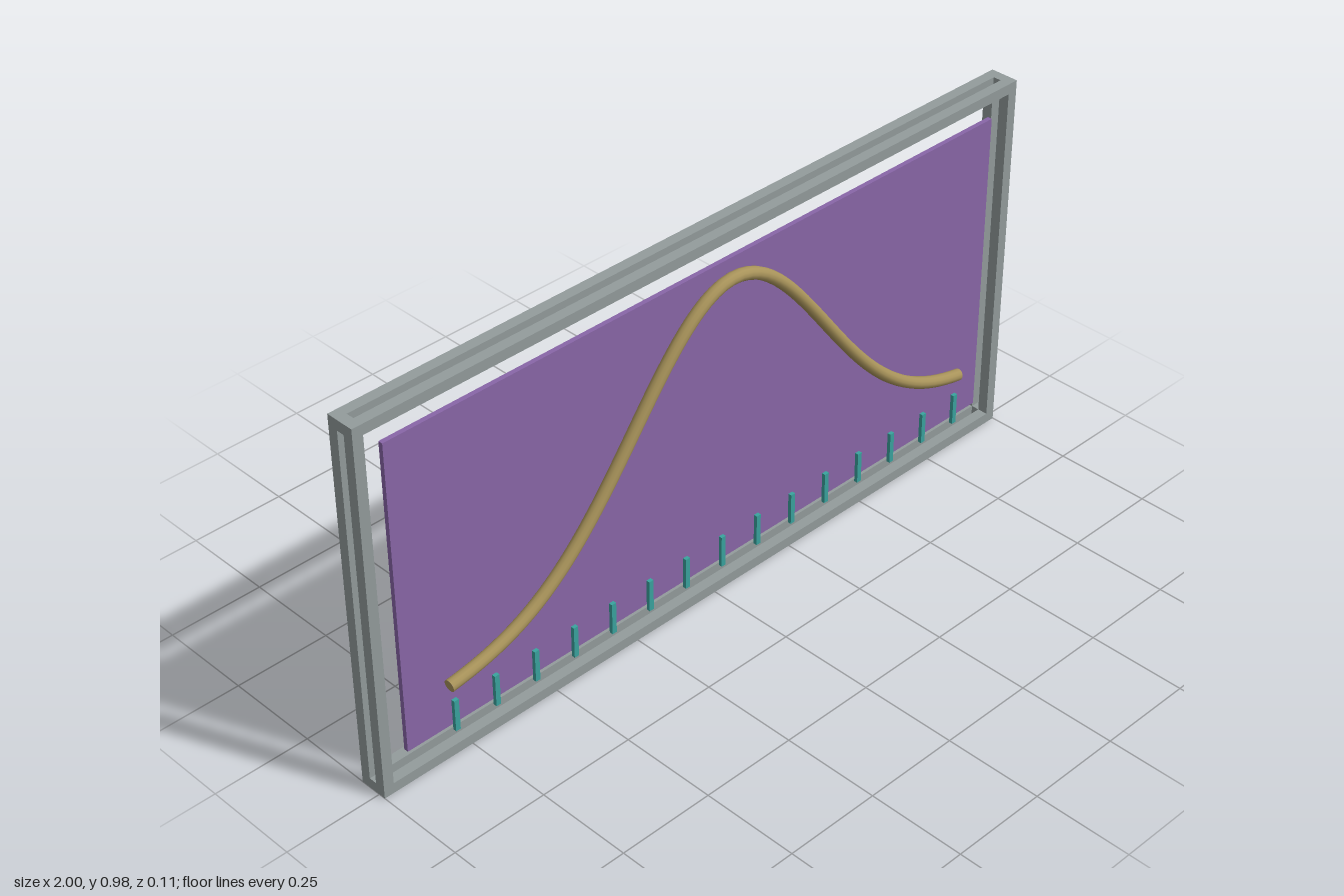
import * as THREE from 'three';

const material = (name, color) => {
  const m = new THREE.MeshStandardMaterial({ color });
  m.name = name;
  return m;
};

export function createModel() {
  const grey = material('frame grey', 0x939c9c);
  const purple = material('panel purple', 0x8966a8);
  const tan = material('curve tan', 0xa8935a);
  const teal = material('tick teal', 0x3aa39e);

  const model = new THREE.Group();
  model.name = 'bellCurveDisplay';

  const box = (parent, name, mat, size, pos) => {
    const mesh = new THREE.Mesh(new THREE.BoxGeometry(...size), mat);
    mesh.name = name;
    mesh.position.set(...pos);
    parent.add(mesh);
  };

  // Open box frame: beams along every edge
  const W = 2, H = 0.976, D = 0.075, B = 0.027, zMid = -0.019;
  const frame = new THREE.Group();
  frame.name = 'frame';
  model.add(frame);
  for (const a of [-1, 1]) {
    for (const b of [-1, 1]) {
      const x = a * (W - B) / 2;
      const y = H / 2 + b * (H - B) / 2;
      box(frame, 'horizontalBeam', grey, [W, B, B],
        [0, H / 2 + a * (H - B) / 2, zMid + b * (D - B) / 2]);
      box(frame, 'uprightBeam', grey, [B, H - 2 * B, B],
        [x, H / 2, zMid + b * (D - B) / 2]);
      box(frame, 'cornerBeam', grey, [B, B, D - 2 * B], [x, y, zMid]);
    }
  }

  // Backing panel
  box(model, 'panel', purple, [1.848, 0.818, 0.012], [0, 0.491, 0.006]);

  // Bell curve tube with closed ends
  const R = 0.0155, zCurve = 0.042;
  const points = [];
  for (let i = 0; i <= 40; i++) {
    const x = -0.823 + 1.643 * i / 40;
    const y = 0.212 + 0.66 * Math.exp(-((x - 0.03) ** 2) / (2 * 0.303 ** 2));
    points.push(new THREE.Vector3(x, y, zCurve));
  }
  const path = new THREE.CatmullRomCurve3(points);
  const curve = new THREE.Group();
  curve.name = 'bellCurve';
  model.add(curve);
  const tube = new THREE.Mesh(new THREE.TubeGeometry(path, 80, R, 12), tan);
  tube.name = 'curveTube';
  curve.add(tube);
  for (const t of [0, 1]) {
    const cap = new THREE.Mesh(new THREE.CircleGeometry(R, 12), tan);
    cap.name = 'curveEnd';
    const out = path.getTangent(t).multiplyScalar(t ? 1 : -1);
    cap.position.copy(path.getPoint(t));
    cap.quaternion.setFromUnitVectors(new THREE.Vector3(0, 0, 1), out);
    curve.add(cap);
  }

  // Row of tick marks below the curve
  const ticks = new THREE.Group();
  ticks.name = 'tickMarks';
  model.add(ticks);
  for (let i = 0; i < 15; i++) {
    box(ticks, 'tick', teal, [0.013, 0.084, 0.0095], [-0.817 + 0.1154 * i, 0.147, 0.051]);
  }

  return model;
}
